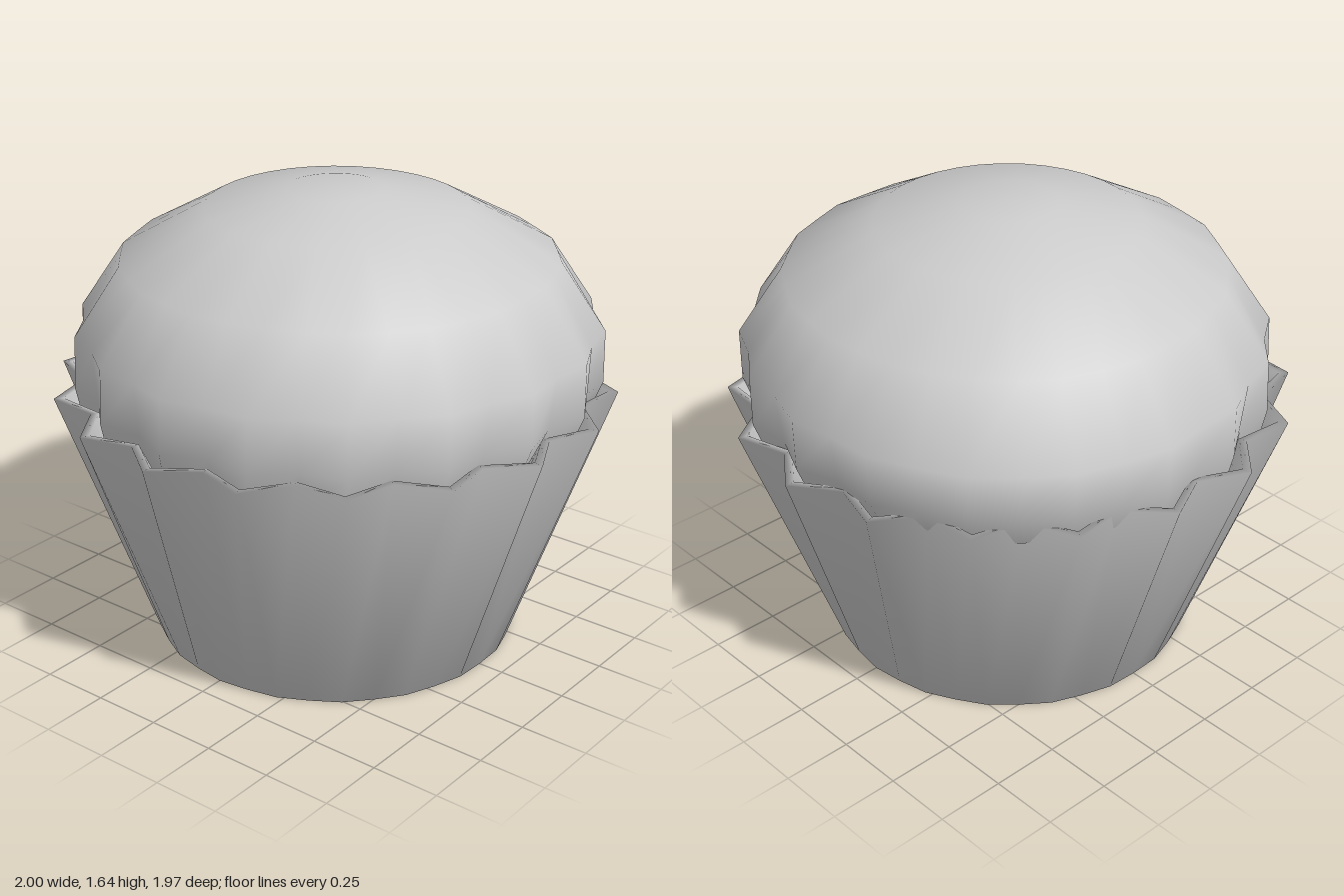
import * as THREE from 'three';

const PLEATS = 18;
const SEGMENTS = PLEATS * 2;
const material = new THREE.MeshStandardMaterial({ color: 0xcccccc, side: THREE.DoubleSide });

// Joins rings, listed along the surface, into one smooth skin.
// Each ring has a height y and a radius rule r(angle, isPleatPeak).
function loft(name, rings) {
  const positions = [];
  const index = [];
  rings.forEach(({ y, r, x = 0, z = 0 }, k) => {
    for (let i = 0; i < SEGMENTS; i++) {
      const angle = (i / SEGMENTS) * Math.PI * 2;
      const radius = r(angle, i % 2 === 0);
      positions.push(x + radius * Math.cos(angle), y, z - radius * Math.sin(angle));
      if (k === 0) continue;
      const next = (i + 1) % SEGMENTS;
      const a = (k - 1) * SEGMENTS + i;
      const b = (k - 1) * SEGMENTS + next;
      const c = k * SEGMENTS + i;
      const d = k * SEGMENTS + next;
      index.push(a, b, d, a, d, c);
    }
  });
  const geometry = new THREE.BufferGeometry();
  geometry.setAttribute('position', new THREE.Float32BufferAttribute(positions, 3));
  geometry.setIndex(index);
  geometry.computeVertexNormals();
  const mesh = new THREE.Mesh(geometry, material);
  mesh.name = name;
  return mesh;
}

// Alternating peak and valley radius of the pleats.
const pleat = (peak, valley) => (angle, isPeak) => (isPeak ? peak : valley);

// Slightly uneven cake outline: one side swells and loses its scallops.
const crumb = (peak, valley, swell) => (angle, isPeak) => {
  const bulge = Math.max(0, Math.cos(angle - 0.9)) ** 4;
  const depth = (peak - valley) * (1 - 0.8 * bulge);
  return peak - (isPeak ? 0 : depth) + swell * bulge;
};

export function createModel() {
  const group = new THREE.Group();
  group.name = 'cupcake';

  // Pleated paper cup: floor, flared wall, rim, and inner wall
  group.add(loft('paperCup', [
    { y: 0, r: pleat(0, 0) },
    { y: 0, r: pleat(0.66, 0.655) },
    { y: 0.945, r: pleat(1, 0.9) },
    { y: 0.945, r: pleat(0.965, 0.87) },
    { y: 0.84, r: pleat(0.9, 0.83) },
  ]));

  // Domed cake top rising out of the cup
  group.add(loft('cakeTop', [
    { y: 0.86, r: crumb(0.9, 0.83, 0) },
    { y: 0.98, r: crumb(0.935, 0.88, 0.03), x: 0.005, z: 0.01 },
    { y: 1.17, r: crumb(0.93, 0.9, 0.06), x: 0.01, z: 0.01 },
    { y: 1.41, r: crumb(0.77, 0.76, 0.03), x: 0.01, z: 0.01 },
    { y: 1.58, r: crumb(0.46, 0.46, 0.01), x: 0.01 },
    { y: 1.645, r: crumb(0.17, 0.17, 0) },
    { y: 1.645, r: crumb(0, 0, 0) },
  ]));

  return group;
}
